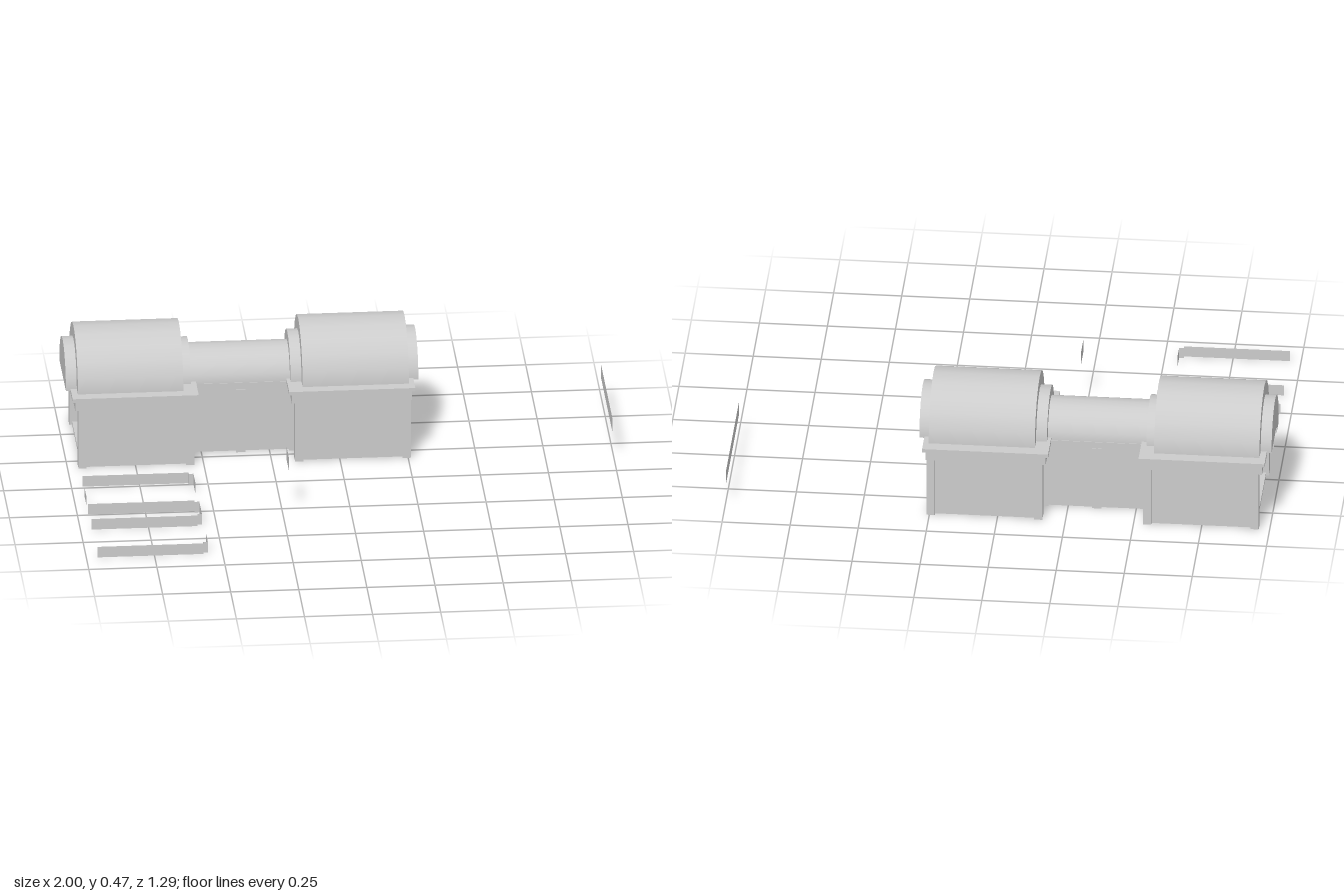
import * as THREE from 'three';

const mat = new THREE.MeshStandardMaterial({ color: 0xcccccc });
const thinMat = new THREE.MeshStandardMaterial({ color: 0xcccccc, side: THREE.DoubleSide });

// Box given by its limits on each axis
function box(parent, name, x0, x1, y0, y1, z0, z1) {
  const m = new THREE.Mesh(new THREE.BoxGeometry(x1 - x0, y1 - y0, z1 - z0), mat);
  m.position.set((x0 + x1) / 2, (y0 + y1) / 2, (z0 + z1) / 2);
  m.name = name;
  parent.add(m);
}

// Half-round roof lying along x, with closed ends
function barrel(parent, name, x0, x1, y, z, r, h, segs = 10) {
  const g = new THREE.Group();
  g.name = name;
  const shell = new THREE.CylinderGeometry(1, 1, x1 - x0, segs, 1, true, 0, Math.PI);
  shell.rotateZ(Math.PI / 2);
  shell.scale(1, h, r);
  const curve = new THREE.Mesh(shell, thinMat);
  curve.position.set((x0 + x1) / 2, y, z);
  curve.name = name + 'Shell';
  g.add(curve);
  for (const x of [x0, x1]) {
    const end = new THREE.CircleGeometry(1, segs, 0, Math.PI);
    end.scale(r, h, 1);
    const m = new THREE.Mesh(end, thinMat);
    m.rotation.y = x === x0 ? -Math.PI / 2 : Math.PI / 2;
    m.position.set(x, y, z);
    m.name = name + 'End';
    g.add(m);
  }
  parent.add(g);
}

// Thin upright panel following a path of [x, z] points
function strip(parent, name, path, y0, y1) {
  const g = new THREE.Group();
  g.name = name;
  for (let i = 0; i + 1 < path.length; i++) {
    const [ax, az] = path[i], [bx, bz] = path[i + 1];
    const m = new THREE.Mesh(new THREE.PlaneGeometry(Math.hypot(bx - ax, bz - az), y1 - y0), thinMat);
    m.position.set((ax + bx) / 2, (y0 + y1) / 2, (az + bz) / 2);
    m.rotation.y = -Math.atan2(bz - az, bx - ax);
    m.name = name + 'Panel';
    g.add(m);
  }
  parent.add(g);
}

// Square pavilion: floor, walls, corner posts and stepped cornice
function pavilion(parent, name, x0, x1, openEnd) {
  const g = new THREE.Group();
  g.name = name;
  const zb = -0.627, zf = -0.18, t = 0.01;
  box(g, 'floor', x0 + t, x1 - t, 0.002, 0.012, zb + t, zf - t);
  box(g, 'frontWall', x0 + t, x1 - t, 0.01, 0.24, zf - 2 * t, zf - t);
  box(g, 'backWall', x0 + t, x1 - t, 0.01, 0.24, zb + t, zb + 2 * t);
  box(g, 'leftWall', x1 - 2 * t, x1 - t, 0.01, 0.24, zb + t, zf - t);
  if (!openEnd) box(g, 'rightWall', x0 + t, x0 + 2 * t, 0.01, 0.24, zb + t, zf - t);
  for (const x of [x0, x1 - 0.03])
    for (const z of [zb, zf - 0.04]) box(g, 'cornerPost', x, x + 0.03, 0, 0.24, z, z + 0.04);
  box(g, 'lowerCornice', x0 - 0.013, x1 + 0.003, 0.235, 0.272, zb - 0.01, zf + 0.01);
  box(g, 'upperCornice', x0 - 0.023, x1 + 0.015, 0.27, 0.284, zb - 0.018, zf + 0.016);
  parent.add(g);
}

export function createModel() {
  const root = new THREE.Group();
  root.name = 'twinPavilionBuilding';
  const zc = -0.403;

  // Two pavilions
  pavilion(root, 'rightPavilion', -0.96, -0.535, true);
  pavilion(root, 'leftPavilion', -0.165, 0.26, false);

  // Main barrel roofs with smaller half-round ends
  barrel(root, 'rightRoof', -0.96, -0.573, 0.278, zc, 0.197, 0.196);
  barrel(root, 'leftRoof', -0.135, 0.255, 0.278, zc, 0.197, 0.196);
  barrel(root, 'rightRoofOuterCap', -1.0, -0.955, 0.278, zc, 0.146, 0.144);
  barrel(root, 'rightRoofInnerCap', -0.58, -0.54, 0.278, -0.408, 0.138, 0.125);
  barrel(root, 'leftRoofInnerCap', -0.175, -0.13, 0.278, zc, 0.146, 0.144);
  barrel(root, 'leftRoofOuterCap', 0.25, 0.294, 0.278, zc, 0.146, 0.144);

  // Connecting passage
  const passage = new THREE.Group();
  passage.name = 'passage';
  root.add(passage);
  box(passage, 'passageFloor', -0.545, -0.155, 0.002, 0.012, -0.515, -0.295);
  for (const s of [-1, 1]) {
    const z = zc + s * 0.108;
    box(passage, 'passageWall', -0.545, -0.155, 0.01, 0.25, z - 0.005, z + 0.005);
    for (const [a, b] of [[-0.545, -0.528], [-0.373, -0.338], [-0.178, -0.16]])
      box(passage, 'passagePost', a, b, 0, 0.25, z - 0.012, z + 0.012);
  }
  box(passage, 'passageCornice', -0.54, -0.165, 0.247, 0.275, -0.52, -0.286);
  barrel(passage, 'passageRoof', -0.545, -0.165, 0.272, zc, 0.115, 0.112);

  // Low detached curbs beside the building
  const a = -0.96, b = -0.57, c = -0.553;
  strip(root, 'backCurb', [[a, -0.014], [b, -0.014], [b, -0.002], [c, -0.002], [c, 0.077]], 0, 0.042);
  strip(root, 'middleCurb', [[a, 0.245], [b, 0.245], [b, 0.257], [c, 0.257], [c, 0.371],
    [b, 0.371], [b, 0.384], [a, 0.384]], 0, 0.042);
  strip(root, 'frontCurb', [[a, 0.642], [b, 0.642], [b, 0.63], [c, 0.63], [c, 0.556]], 0, 0.042);
  strip(root, 'shortCurb', [[a, 0.092], [a, 0.174]], 0.003, 0.038);

  // Floating sign panels
  strip(root, 'smallPanel', [[-0.23, 0.21], [-0.23, 0.323]], 0.183, 0.235);
  strip(root, 'longPanel', [[0.996, -0.645], [0.996, -0.122]], 0.096, 0.15);
  return root;
}
